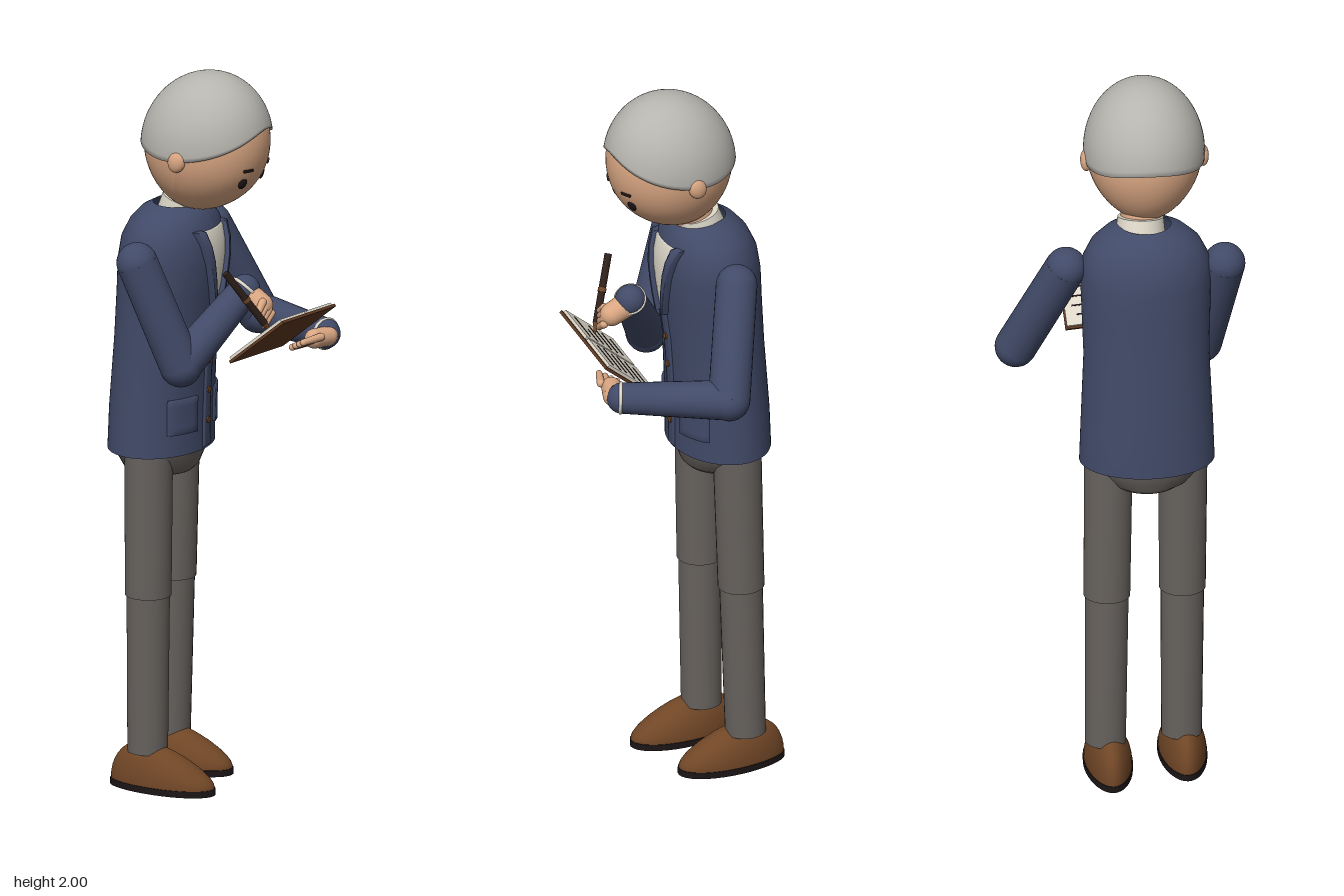
import * as THREE from 'three';

const mat = (name, color, side = THREE.FrontSide) => {
  const m = new THREE.MeshStandardMaterial({ color, side });
  m.name = name;
  return m;
};
const V = (x, y, z) => new THREE.Vector3(x, y, z);
const YAW = 0.43;

export function createModel() {
  const M = {
    navy: mat('navy wool', 0x414a68, THREE.DoubleSide),
    grey: mat('grey trousers', 0x66615d, THREE.DoubleSide),
    hair: mat('silver hair', 0xb6b4ae, THREE.DoubleSide),
    skin: mat('skin', 0xd9a682),
    leather: mat('brown leather', 0x704626),
    dark: mat('near black', 0x1c1516),
    cream: mat('cream', 0xddd7c9, THREE.DoubleSide),
    cover: mat('notebook brown', 0x5f3a22),
    pen: mat('pen brown', 0x2e1f19),
  };
  const model = new THREE.Group();
  model.name = 'writingMan';

  const add = (parent, name, geo, material, x = 0, y = 0, z = 0) => {
    const m = new THREE.Mesh(geo, material);
    m.name = name;
    m.position.set(x, y, z);
    parent.add(m);
    return m;
  };
  const group = (name, parent = model) => {
    const g = new THREE.Group();
    g.name = name;
    parent.add(g);
    return g;
  };
  // Tapered cylinder between two points, with optional rounded ends
  const limb = (parent, name, a, b, ra, rb, material, round = true) => {
    const d = b.clone().sub(a);
    const m = add(parent, name, new THREE.CylinderGeometry(rb, ra, d.length(), 28), material);
    m.position.copy(a).addScaledVector(d, 0.5);
    m.quaternion.setFromUnitVectors(V(0, 1, 0), d.normalize());
    if (round) for (const [p, r] of [[a, ra], [b, rb]])
      add(parent, name + 'End', new THREE.SphereGeometry(r, 24, 16), material, p.x, p.y, p.z);
    return m;
  };
  // Surface through elliptical sections [y, halfWidth, halfDepth, zOffset]
  const loft = (sections, n = 48) => {
    const pos = [], idx = [];
    sections.forEach(([y, a, b, oz]) => {
      for (let i = 0; i <= n; i++) {
        const t = (i / n) * Math.PI * 2;
        pos.push(a * Math.sin(t), y, oz + b * Math.cos(t));
      }
    });
    for (let j = 0; j < sections.length - 1; j++)
      for (let i = 0; i < n; i++) {
        const p = j * (n + 1) + i, q = p + n + 1;
        idx.push(p, p + 1, q, p + 1, q + 1, q);
      }
    const g = new THREE.BufferGeometry();
    g.setAttribute('position', new THREE.Float32BufferAttribute(pos, 3));
    g.setIndex(idx);
    g.computeVertexNormals();
    return g;
  };

  // Body frame, turned slightly towards its left
  const body = group('body');
  body.position.set(-0.095, 0, -0.12);
  body.rotation.y = YAW;

  // Jacket
  const S = [
    [0.94, 0.183, 0.134, 0], [1.05, 0.179, 0.132, 0.002], [1.25, 0.17, 0.13, 0.014],
    [1.38, 0.174, 0.136, 0.027], [1.47, 0.177, 0.138, 0.033], [1.53, 0.171, 0.131, 0.036],
    [1.575, 0.148, 0.114, 0.04], [1.605, 0.112, 0.092, 0.045], [1.622, 0.07, 0.066, 0.05],
  ];
  add(body, 'jacket', loft(S), M.navy);
  const hem = add(body, 'jacketUnderside', new THREE.CircleGeometry(1, 40), M.navy, 0, 0.945, 0);
  hem.rotation.x = Math.PI / 2;
  hem.scale.set(0.18, 0.13, 1);

  // Point on the jacket front at a given x and y
  const front = (x, y) => {
    let j = 0;
    while (j < S.length - 2 && S[j + 1][0] < y) j++;
    const t = (y - S[j][0]) / (S[j + 1][0] - S[j][0]);
    const [a, b, o] = [1, 2, 3].map(k => S[j][k] + t * (S[j + 1][k] - S[j][k]));
    return o + b * Math.sqrt(Math.max(0, 1 - (x / a) ** 2));
  };
  // Thin plate that follows the jacket front
  const plate = (name, y0, y1, xl, xr, off, material) => {
    const T = [0, 0.01, 0.2, 0.4, 0.6, 0.8, 0.99, 1], n = T.length;
    const g = new THREE.PlaneGeometry(1, 1, n - 1, n - 1), p = g.attributes.position;
    for (let i = 0; i < p.count; i++) {
      const c = i % n, r = Math.floor(i / n), v = 1 - T[r];
      const y = y0 + (y1 - y0) * v, x = xl(v) + (xr(v) - xl(v)) * T[c];
      const edge = c === 0 || r === 0 || c === n - 1 || r === n - 1;
      p.setXYZ(i, x, y, front(x, y) + (edge ? 0 : off));
    }
    g.computeVertexNormals();
    add(body, name, g, material);
  };
  const vee = v => 0.012 + 0.048 * v;
  plate('shirtFront', 1.36, 1.56, v => -vee(v), vee, 0.005, M.cream);
  for (const s of [-1, 1]) {
    const inner = v => s * vee(v), outer = v => s * (vee(v) + 0.012 + 0.014 * v);
    plate('lapel', 1.35, 1.565, s < 0 ? outer : inner, s < 0 ? inner : outer, 0.018, M.navy);
    plate('pocket', 1.0, 1.1, () => s * 0.095 - 0.043, () => s * 0.095 + 0.043, 0.008, M.navy);
  }
  plate('placket', 0.945, 1.35, () => -0.017, () => 0.017, 0.006, M.navy);
  for (const y of [1.02, 1.105, 1.19, 1.275]) {
    const b = add(body, 'button', new THREE.CylinderGeometry(0.009, 0.009, 0.006, 16), M.leather, 0, y, front(0, y) + 0.007);
    b.rotation.x = Math.PI / 2;
  }

  // Seat of the trousers
  add(body, 'trouserSeat', loft([
    [0.868, 0.001, 0.001, 0], [0.87, 0.088, 0.085, 0], [0.885, 0.115, 0.1, 0],
    [0.93, 0.155, 0.115, 0], [0.96, 0.16, 0.118, 0],
  ]), M.grey);

  // Legs and shoes
  const legs = [
    ['right', V(-0.18, 0.96, -0.068), V(-0.178, 0.1, -0.075), V(-0.165, 0, -0.027)],
    ['left', V(-0.003, 0.96, -0.172), V(-0.003, 0.1, -0.195), V(0.002, 0, -0.157)],
  ];
  const taper = (geo, rule) => {
    const p = geo.attributes.position;
    for (let i = 0; i < p.count; i++) p.setXYZ(i, ...rule(p.getX(i), p.getY(i), p.getZ(i)));
    geo.computeVertexNormals();
    return geo;
  };
  for (const [side, hip, ankle, foot] of legs) {
    const leg = group(side + 'Leg');
    limb(leg, 'thigh', hip, hip.clone().lerp(ankle, 0.49), 0.066, 0.063, M.grey, false);
    limb(leg, 'shin', hip.clone().lerp(ankle, 0.45), ankle, 0.059, 0.055, M.grey, false);
    const shoe = group(side + 'Shoe');
    shoe.position.copy(foot);
    shoe.rotation.y = YAW;
    add(shoe, 'shoeUpper', taper(new THREE.SphereGeometry(1, 36, 24), (x, y, z) =>
      [x * 0.064 * (1 + 0.1 * z), 0.018 + Math.max(0, y) * (0.1 - 0.045 * z), z * 0.153]), M.leather);
    add(shoe, 'sole', taper(new THREE.CylinderGeometry(1, 1, 0.018, 36), (x, y, z) =>
      [x * 0.066 * (1 + 0.1 * z), y + 0.009, z * 0.155]), M.dark);
  }

  // Arms
  const arms = [
    ['right', V(-0.275, 1.5, 0), V(-0.183, 1.21, 0.073), V(0.005, 1.4, 0.115)],
    ['left', V(0.118, 1.503, -0.172), V(0.267, 1.23, -0.153), V(0.266, 1.235, 0.135)],
  ];
  for (const [side, shoulder, elbow, wrist] of arms) {
    const arm = group(side + 'Arm');
    limb(arm, 'upperSleeve', shoulder, elbow, 0.056, 0.057, M.navy);
    limb(arm, 'lowerSleeve', elbow, wrist, 0.055, 0.042, M.navy);
    const dir = wrist.clone().sub(elbow).normalize();
    const cuff = add(arm, 'shirtCuff', new THREE.TorusGeometry(0.04, 0.005, 10, 32), M.cream);
    cuff.position.copy(wrist).addScaledVector(dir, 0.004);
    cuff.quaternion.setFromUnitVectors(V(0, 0, 1), dir);
  }

  // Hands
  const rightHand = group('rightHand');
  limb(rightHand, 'palm', V(0.01, 1.385, 0.13), V(0.022, 1.365, 0.165), 0.034, 0.032, M.skin);
  const leftHand = group('leftHand');
  limb(leftHand, 'palm', V(0.255, 1.235, 0.16), V(0.205, 1.238, 0.165), 0.027, 0.027, M.skin);
  for (let i = 0; i < 4; i++) {
    limb(rightHand, 'finger', V(0.01 + i * 0.01, 1.38 - i * 0.012, 0.185),
      V(-0.018 + i * 0.008, 1.355 - i * 0.012, 0.198), 0.011, 0.009, M.skin);
    limb(leftHand, 'finger', V(0.205, 1.225 + i * 0.008, 0.145 + i * 0.016),
      V(0.14, 1.222 + i * 0.008, 0.15 + i * 0.016), 0.011, 0.009, M.skin);
  }

  // Pen
  const pen = group('pen');
  const top = V(-0.11, 1.48, 0.175), tip = V(0.018, 1.3, 0.212);
  const along = t => top.clone().lerp(tip, t);
  limb(pen, 'penBarrel', top, along(0.85), 0.01, 0.01, M.pen, false);
  limb(pen, 'penBand', along(0.42), along(0.47), 0.0115, 0.0115, M.leather, false);
  limb(pen, 'penTip', along(0.85), tip, 0.009, 0.001, M.leather, false);

  // Open notebook, tilted towards the reader
  const book = group('notebook');
  const X = V(0.282, -0.03, -0.125).normalize();
  const N = V(0.066, 0.13, 0.14).cross(X).normalize();
  book.quaternion.setFromRotationMatrix(new THREE.Matrix4().makeBasis(X, N, X.clone().cross(N)));
  book.position.set(0.0885, 1.275, 0.1725);
  add(book, 'cover', new THREE.BoxGeometry(0.31, 0.008, 0.202), M.cover);
  for (const s of [-1, 1]) {
    add(book, 'pages', new THREE.BoxGeometry(0.145, 0.008, 0.19), M.cream, s * 0.0775, 0.008, 0);
    for (let i = 0; i < 6; i++) {
      const w = [0.085, 0.105, 0.115, 0.1, 0.115, 0.105][i] * (s < 0 && i === 4 ? 0.55 : 1);
      add(book, 'writtenLine', new THREE.BoxGeometry(w, 0.002, 0.004), M.dark,
        s * 0.0775 + (s < 0 && i === 4 ? 0.025 : 0), 0.0125, -0.065 + i * 0.027);
    }
  }

  // Neck and collar
  limb(model, 'neck', V(-0.062, 1.56, -0.075), V(-0.05, 1.7, -0.03), 0.056, 0.056, M.skin, false);
  limb(model, 'collar', V(-0.06, 1.59, -0.073), V(-0.057, 1.635, -0.062), 0.068, 0.062, M.cream, false);

  // Head, bowed over the page
  const head = group('head');
  head.position.set(-0.042, 1.8, 0.01);
  head.rotation.set(0.35, YAW, 0, 'YXZ');
  const [rx, ry, rz] = [0.157, 0.192, 0.173];
  add(head, 'face', taper(new THREE.SphereGeometry(1, 48, 32), (x, y, z) => {
    const k = y < 0 ? 1 - 0.12 * y * y : 1;
    return [x * rx * k, y * ry, z * rz * k];
  }), M.skin);

  // Hair cap: high over the brow, low at the nape, with a tucked rim
  const rows = 24, cols = 64, hp = [], hi = [];
  for (let j = 0; j <= rows + 1; j++)
    for (let i = 0; i <= cols; i++) {
      const az = (i / cols) * Math.PI * 2;
      const edge = 0.005 + 0.085 * Math.cos(az) + 0.025 * Math.cos(2 * az);
      const th = Math.acos(edge / 0.2) * Math.min(1, j / rows);
      const k = j > rows ? 0.94 : 1, r = Math.sin(th) * k;
      hp.push(0.164 * r * Math.sin(az), 0.2 * Math.cos(th), 0.18 * r * Math.cos(az));
      if (j <= rows && i < cols) {
        const p = j * (cols + 1) + i, q = p + cols + 1;
        hi.push(p, q, p + 1, p + 1, q, q + 1);
      }
    }
  const hairGeo = new THREE.BufferGeometry();
  hairGeo.setAttribute('position', new THREE.Float32BufferAttribute(hp, 3));
  hairGeo.setIndex(hi);
  hairGeo.computeVertexNormals();
  add(head, 'hair', hairGeo, M.hair);

  // Ears, eyes and brows
  const faceZ = (x, y) => rz * Math.sqrt(1 - (x / rx) ** 2 - (y / ry) ** 2);
  for (const s of [-1, 1]) {
    add(head, 'ear', new THREE.SphereGeometry(1, 20, 14), M.skin, s * 0.158, -0.022, -0.005).scale.set(0.016, 0.03, 0.025);
    const x = s * 0.058;
    const eye = add(head, 'eye', new THREE.SphereGeometry(1, 20, 14), M.dark, x, -0.034, faceZ(x, -0.034));
    eye.scale.set(0.014, 0.016, 0.005);
    eye.rotation.y = s * 0.4;
    const brow = add(head, 'brow', new THREE.BoxGeometry(0.032, 0.007, 0.008), M.pen, x, 0.008, faceZ(x, 0.008));
    brow.rotation.set(0, s * 0.38, -s * 0.1);
  }
  return model;
}
